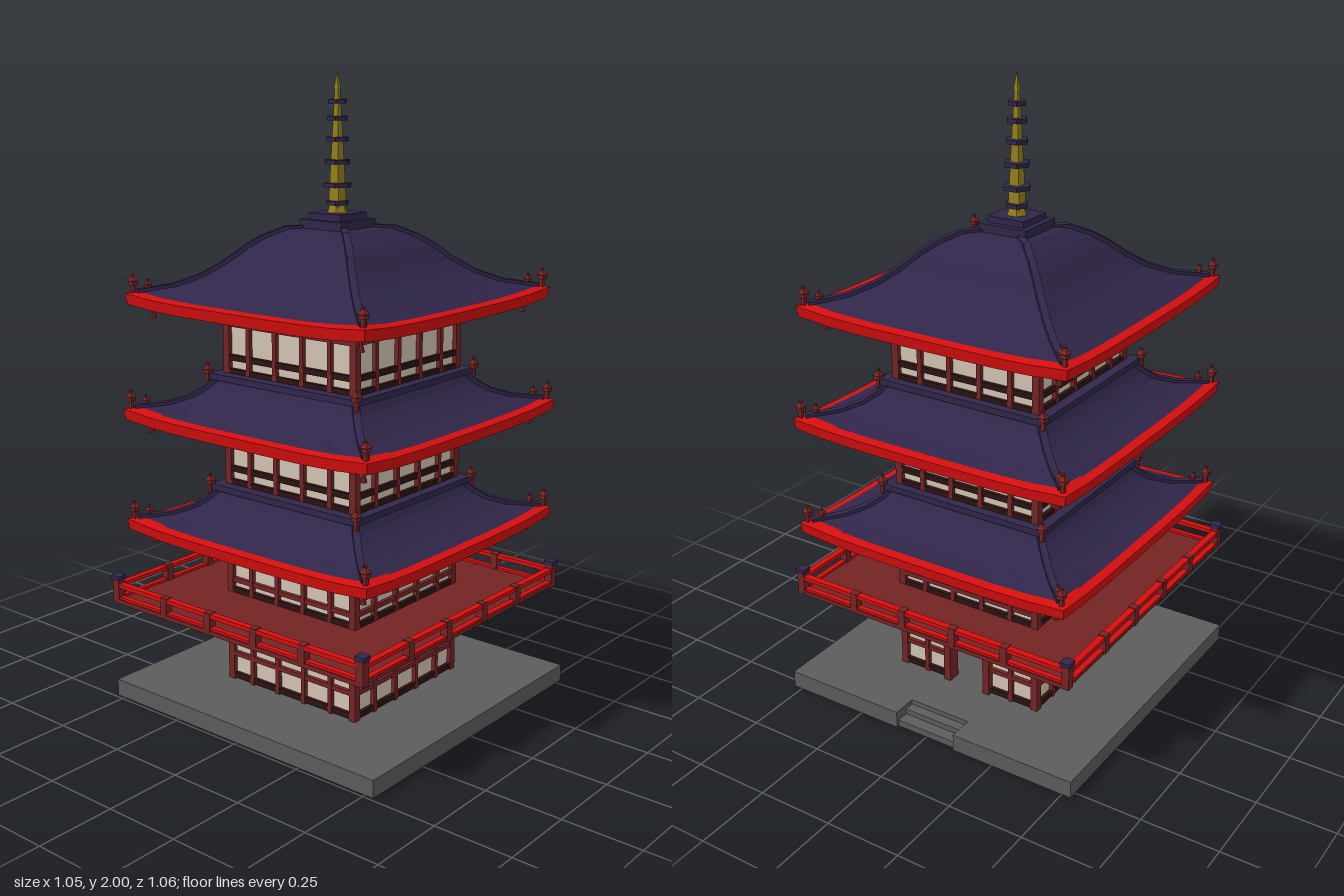
import * as THREE from 'three';

const mat = (name, color) => {
  const m = new THREE.MeshStandardMaterial({ color });
  m.name = name;
  return m;
};

export function createModel() {
  const stone = mat('stone', 0x5c5c5c), tile = mat('roofTile', 0x30264a), red = mat('lacquerRed', 0xd60e0e);
  const wood = mat('redBrownWood', 0x742424), dark = mat('darkWood', 0x2c1212);
  const cream = mat('plaster', 0xd2c5b4), gold = mat('gold', 0x927f1c);
  const root = new THREE.Group();
  root.name = 'pagoda';

  const group = (parent, name, x = 0, y = 0, z = 0) => {
    const g = new THREE.Group();
    g.name = name;
    g.position.set(x, y, z);
    parent.add(g);
    return g;
  };
  const add = (parent, name, geo, m, x = 0, y = 0, z = 0) => {
    const mesh = new THREE.Mesh(geo, m);
    mesh.name = name;
    mesh.position.set(x, y, z);
    parent.add(mesh);
    return mesh;
  };
  const box = (parent, name, m, w, h, d, x, y, z) =>
    add(parent, name, new THREE.BoxGeometry(w, h, d), m, x, y, z);
  const flat = (geo) => {
    const g = geo.toNonIndexed();
    g.computeVertexNormals();
    return g;
  };

  // Square rings [half width, height, corner lift] joined into a faceted skin
  const squareLoft = (profile, n = 8) => {
    const corners = [[1, -1], [1, 1], [-1, 1], [-1, -1]];
    const pos = [], idx = [], ring = 4 * n;
    for (const [half, y, lift = 0] of profile) {
      for (let k = 0; k < 4; k++) {
        const a = corners[k], b = corners[(k + 1) % 4];
        for (let i = 0; i < n; i++) {
          const t = i / n;
          pos.push(half * (a[0] + (b[0] - a[0]) * t), y + lift * Math.abs(2 * t - 1) ** 4,
            half * (a[1] + (b[1] - a[1]) * t));
        }
      }
    }
    for (let r = 0; r < profile.length - 1; r++) {
      for (let j = 0; j < ring; j++) {
        const a = r * ring + j, b = r * ring + (j + 1) % ring;
        idx.push(a, a + ring, b + ring, a, b + ring, b);
      }
    }
    const g = new THREE.BufferGeometry();
    g.setAttribute('position', new THREE.Float32BufferAttribute(pos, 3));
    g.setIndex(idx);
    return flat(g);
  };

  // Stone base with a recessed step on the door side
  const plan = new THREE.Shape([[-0.49, -0.53], [0.527, -0.53], [0.527, -0.108], [0.445, -0.108],
    [0.445, 0.108], [0.527, 0.108], [0.527, 0.53], [-0.49, 0.53]].map((p) => new THREE.Vector2(...p)));
  const baseGeo = new THREE.ExtrudeGeometry(plan, { depth: 0.056, bevelEnabled: false });
  baseGeo.rotateX(-Math.PI / 2);
  add(root, 'stoneBase', baseGeo, stone);
  box(root, 'lowerStep', stone, 0.075, 0.022, 0.216, 0.48, 0.011, 0);
  box(root, 'upperStep', stone, 0.035, 0.04, 0.216, 0.46, 0.02, 0);

  // One storey: plaster, posts, beams and brackets on four sides
  const storey = (name, y0, y1, beams, darkBeams, bracketY, doorSide = -1) => {
    const s = group(root, name, 0.02, 0, 0.002);
    const h = y1 - y0, mid = (y0 + y1) / 2;
    for (let k = 0; k < 4; k++) {
      const side = group(s, 'wallSide', 0, 0, 0);
      side.rotation.y = k * Math.PI / 2;
      const door = k === doorSide, gap = 0.075, doorTop = 0.23;
      const bar = (m, y, t) => {
        if (door && y < doorTop) {
          for (const e of [-1, 1]) box(side, 'beam', m, 0.26 - gap, t, 0.025, e * (0.26 + gap) / 2, y, 0.25);
        } else box(side, 'beam', m, 0.52, t, 0.025, 0, y, 0.25);
      };
      if (door) {
        for (const e of [-1, 1]) {
          box(side, 'plasterPanel', cream, 0.25 - gap, h, 0.02, e * (0.25 + gap) / 2, mid, 0.24);
          box(side, 'doorJamb', wood, 0.024, 0.185, 0.045, e * gap, 0.148, 0.25);
        }
        box(side, 'plasterPanel', cream, 2 * gap, y1 - doorTop, 0.02, 0, (y1 + doorTop) / 2, 0.24);
        box(side, 'doorLintel', wood, 0.18, 0.02, 0.05, 0, 0.236, 0.25);
      } else box(side, 'plasterPanel', cream, 0.5, h, 0.02, 0, mid, 0.24);
      beams.forEach((y) => bar(wood, y, 0.015));
      darkBeams.forEach((y) => bar(dark, y, 0.018));
      box(side, 'cornerPost', wood, 0.024, h, 0.024, -0.252, mid, 0.252);
      for (let i = 0; i < 4; i++) {
        const x = (i - 1.5) * 0.108;
        const low = door && Math.abs(x) < gap ? doorTop : y0;
        box(side, 'post', wood, 0.015, y1 - low, 0.025, x, (y1 + low) / 2, 0.251);
        box(side, 'bracketArm', wood, 0.066, 0.011, 0.035, x, bracketY + 0.02, 0.262);
        add(side, 'bracketCup', flat(new THREE.CylinderGeometry(0.022, 0.008, 0.028, 6)), red, x, bracketY, 0.264);
        for (const e of [-1, 1]) box(side, 'bracketBlock', wood, 0.014, 0.012, 0.03, x + e * 0.027, bracketY + 0.03, 0.262);
      }
    }
  };
  storey('groundStorey', 0.056, 0.346, [0.145, 0.235, 0.315], [0.07], 0.275, 1);
  storey('secondStorey', 0.35, 0.61, [0.4, 0.53, 0.57], [0.365], 0.55);
  storey('thirdStorey', 0.7, 0.97, [0.89, 0.925], [0.728, 0.772], 0.9);
  storey('topStorey', 1.06, 1.33, [1.235, 1.29], [1.086, 1.13], 1.266);

  // Balcony with railing
  const balcony = group(root, 'balcony', -0.015, 0, 0.01);
  box(balcony, 'balconyFloor', wood, 1.015, 0.014, 1.0, 0, 0.35, 0);
  for (let k = 0; k < 4; k++) {
    const side = group(balcony, 'railing');
    side.rotation.y = k * Math.PI / 2;
    box(side, 'handrail', red, 0.99, 0.013, 0.022, 0, 0.402, 0.495);
    box(side, 'floorEdge', red, 0.99, 0.008, 0.018, 0, 0.361, 0.495);
    for (let i = 0; i < 4; i++) box(side, 'railPost', wood, 0.025, 0.062, 0.026, (i - 1.5) * 0.187, 0.38, 0.495);
    box(side, 'cornerPost', wood, 0.026, 0.08, 0.026, 0.495, 0.384, 0.495);
    box(side, 'cornerCap', tile, 0.033, 0.014, 0.033, 0.495, 0.427, 0.495);
  }

  // Small lantern-like finial
  const finial = (parent, half, y, s) => {
    const f = group(parent, 'finial', half, y, half);
    f.scale.setScalar(s);
    box(f, 'finialPost', wood, 0.012, 0.04, 0.012, 0, 0.02, 0);
    box(f, 'finialCup', wood, 0.022, 0.012, 0.022, 0, 0.036, 0);
    add(f, 'finialCap', flat(new THREE.ConeGeometry(0.02, 0.018, 4).rotateY(Math.PI / 4)), wood, 0, 0.053, 0);
    add(f, 'finialTip', new THREE.OctahedronGeometry(0.008), wood, 0, 0.064, 0);
  };

  // Roof: red eave frame, tiled top, soffit, hip ridges and corner ornaments
  const roof = (name, cx, cz, half, y, slope, rim) => {
    const r = group(root, name, cx, y, cz), L = 0.014, e = half - 0.035;
    add(r, 'eaveFrame', squareLoft([[e, 0, L], [half - 0.005, 0, L], [half, 0.034, L], [e, 0.04, L], [e, 0, L]]), red);
    add(r, 'soffit', squareLoft([[0.24, 0.034], [e, 0.012, L]]), tile);
    const skin = [[e + 0.006, 0.039, L], ...slope];
    add(r, 'tiledRoof', squareLoft(skin), tile);
    if (rim) add(r, 'roofRim', squareLoft([[0.28, rim], [0.296, rim], [0.296, rim + 0.02], [0.24, rim + 0.02]], 1), tile);
    for (let k = 0; k < 4; k++) {
      const c = group(r, 'roofCorner');
      c.rotation.y = k * Math.PI / 2;
      for (let i = 0; i < skin.length - 1; i++) {
        const [h0, y0, l0 = 0] = skin[i], [h1, y1, l1 = 0] = skin[i + 1];
        const a = new THREE.Vector3(h0, y0 + l0, h0), b = new THREE.Vector3(h1, y1 + l1, h1);
        const m = box(c, 'hipRidge', tile, 0.022, 0.016, a.distanceTo(b) + 0.006, 0, 0, 0);
        m.position.copy(a).add(b).multiplyScalar(0.5);
        m.lookAt(b.clone());
        m.rotation.set(0, 0, 0);
        m.quaternion.setFromRotationMatrix(new THREE.Matrix4().lookAt(b, a, new THREE.Vector3(0, 1, 0)));
      }
      finial(c, half - 0.018, 0.045, 0.95);
      finial(c, half - 0.05, 0.045, 0.7);
      if (rim) finial(c, 0.296, rim - 0.01, 0.95);
      add(c, 'hangingBell', flat(new THREE.CylinderGeometry(0.005, 0.011, 0.022, 6)), wood, half - 0.06, -0.018, half - 0.06);
      box(c, 'bellHook', wood, 0.006, 0.03, 0.006, half - 0.06, 0.005, half - 0.06);
    }
  };
  const skirt = [[0.385, 0.058, 0.004], [0.335, 0.083], [0.3, 0.112], [0.28, 0.138]];
  roof('lowerRoof', 0.016, 0.002, 0.484, 0.563, skirt, 0.138);
  roof('middleRoof', 0.016, 0.002, 0.484, 0.922, skirt, 0.138);
  roof('topRoof', 0.013, -0.003, 0.468, 1.285,
    [[0.36, 0.066, 0.004], [0.3, 0.1], [0.25, 0.14], [0.205, 0.185], [0.17, 0.213], [0.12, 0.24], [0.06, 0.245]]);

  // Stepped cap and spire
  const spire = group(root, 'spire', 0.008, 0, -0.01);
  box(spire, 'capLower', tile, 0.166, 0.034, 0.166, 0, 1.537, 0);
  box(spire, 'capUpper', tile, 0.126, 0.022, 0.126, 0, 1.563, 0);
  add(spire, 'spireFoot', flat(new THREE.CylinderGeometry(0.022, 0.034, 0.03, 6)), gold, 0, 1.588, 0);
  add(spire, 'spireShaft', flat(new THREE.CylinderGeometry(0.008, 0.028, 0.36, 4).rotateY(Math.PI / 4)), gold, 0, 1.77, 0);
  add(spire, 'spireTip', flat(new THREE.ConeGeometry(0.011, 0.055, 4).rotateY(Math.PI / 4)), gold, 0, 1.9725, 0);
  [[1.603, 0.036], [1.657, 0.045], [1.727, 0.041], [1.795, 0.036], [1.857, 0.033], [1.907, 0.03]].forEach(([y, r]) =>
    add(spire, 'spireRing', flat(new THREE.CylinderGeometry(r, r, 0.013, 6)), tile, 0, y, 0));

  return root;
}
